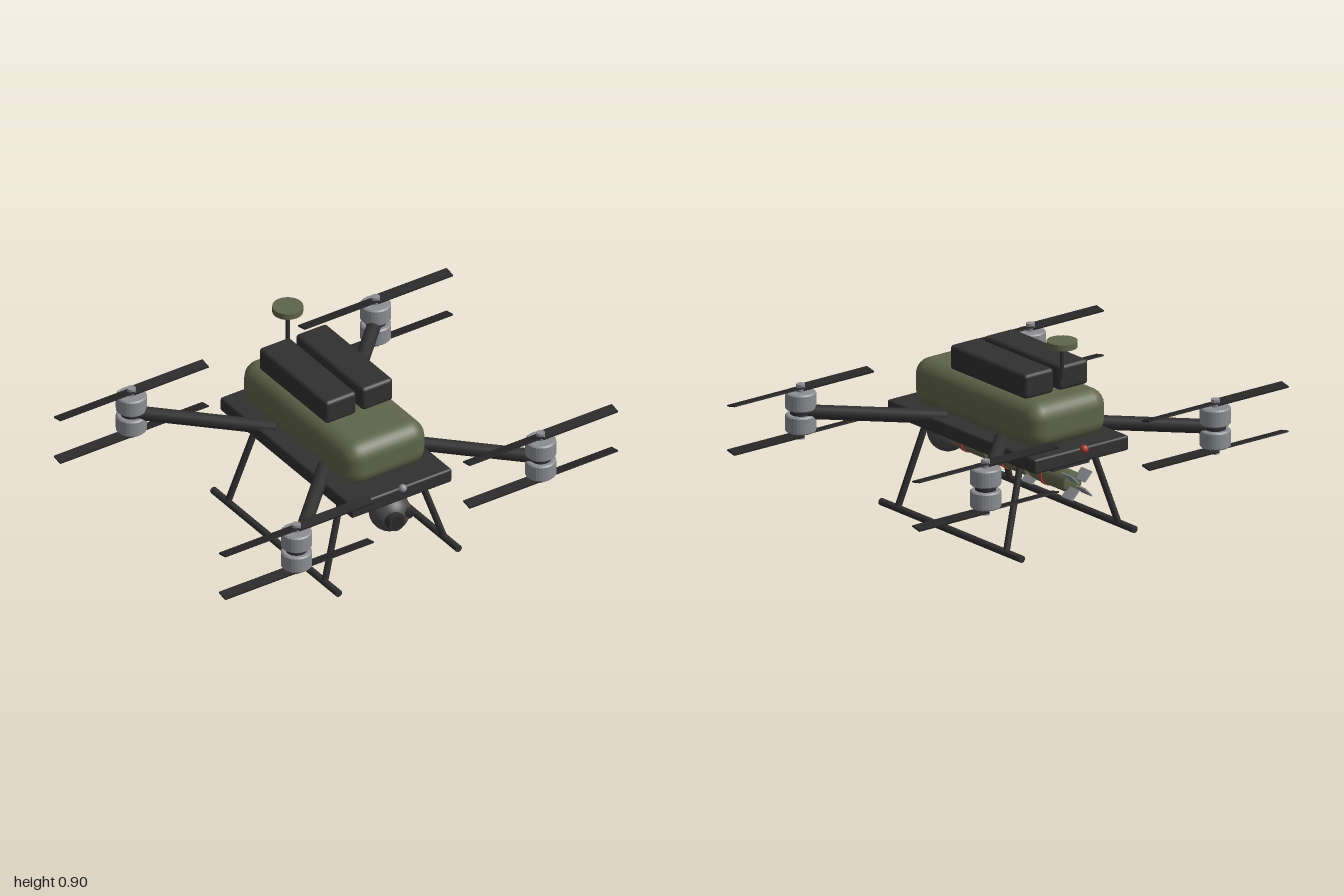
import * as THREE from 'three';
import { RoundedBoxGeometry } from 'three/addons/geometries/RoundedBoxGeometry.js';

const mat = (name, color) => Object.assign(new THREE.MeshStandardMaterial({ color }), { name });

export function createModel() {
  const olive = mat('olive', 0x5f654a);
  const carbon = mat('carbon', 0x303031);
  const black = mat('blade black', 0x262627);
  const metal = mat('metal grey', 0x8b8d92);
  const gunmetal = mat('gunmetal', 0x4b4b4e);
  const red = mat('red', 0xa63c2e);

  const root = new THREE.Group();
  root.name = 'drone';

  const add = (name, geo, material, x = 0, y = 0, z = 0, parent = root) => {
    const m = new THREE.Mesh(geo, material);
    m.name = name;
    m.position.set(x, y, z);
    parent.add(m);
    return m;
  };
  const rbox = (w, h, d, r, s = 2) => new RoundedBoxGeometry(w, h, d, s, r);
  const cyl = (r, h, n = 24) => new THREE.CylinderGeometry(r, r, h, n);
  // straight round tube between two points
  const rod = (name, a, b, r, material) => {
    const A = new THREE.Vector3(...a), B = new THREE.Vector3(...b);
    const d = B.clone().sub(A);
    const m = add(name, cyl(r, d.length(), 16), material);
    m.position.copy(A).add(B).multiplyScalar(0.5);
    m.quaternion.setFromUnitVectors(new THREE.Vector3(0, 1, 0), d.normalize());
    return m;
  };

  // Fuselage: flat base plate, rounded shell and two battery packs
  add('basePlate', rbox(0.51, 0.066, 1.0, 0.01), carbon, 0, 0.423, 0);
  add('bodyShell', rbox(0.41, 0.21, 0.857, 0.075, 3), olive, 0, 0.556, -0.013);
  for (const s of [-1, 1])
    add('battery', rbox(0.157, 0.11, 0.513, 0.016), carbon, s * 0.093, 0.715, -0.075);

  // Antenna mast and disc
  add('antennaMast', cyl(0.009, 0.15, 12), carbon, 0, 0.805, -0.365);
  add('antennaDisc', cyl(0.066, 0.028, 24), olive, 0, 0.886, -0.365);

  // Position lights
  add('frontLight', new THREE.SphereGeometry(0.018, 16, 12), metal, 0, 0.455, 0.505);
  add('rearLight', new THREE.SphereGeometry(0.018, 16, 12), red, 0, 0.455, -0.515);

  // Four arms, each with a stacked pair of motors and propellers
  for (const sx of [-1, 1]) for (const sz of [-1, 1]) {
    const x = sx * 0.622, z = sz * 0.624;
    rod('arm', [sx * 0.18, 0.449, sz * 0.18], [x, 0.449, z], 0.031, carbon);
    const pod = new THREE.Group();
    pod.name = 'motorPod';
    pod.position.set(x, 0.451, z);
    root.add(pod);
    add('motorMount', cyl(0.045, 0.05), carbon, 0, 0, 0, pod);
    for (const s of [-1, 1]) {
      const can = [[0, -0.039], [0.06, -0.039], [0.066, -0.033], [0.066, 0.033], [0.06, 0.039], [0, 0.039]]
        .map(p => new THREE.Vector2(...p));
      add('motor', new THREE.LatheGeometry(can, 28).toNonIndexed(), metal, 0, s * 0.05, 0, pod)
        .geometry.computeVertexNormals();
      add('propellerHub', cyl(0.019, 0.036, 12), metal, 0, s * 0.104, 0, pod);
      for (const side of [-1, 1]) {
        const blade = add('propellerBlade', new THREE.BoxGeometry(0.378, 0.007, 0.05), black,
          side * 0.189, s * 0.104, 0, pod);
        blade.rotation.x = side * s * 0.2;
      }
    }
  }

  // Landing gear: two skids on splayed legs
  for (const sx of [-1, 1]) {
    rod('skid', [sx * 0.305, 0.017, -0.475], [sx * 0.305, 0.017, 0.475], 0.016, carbon);
    for (const sz of [-1, 1])
      rod('leg', [sx * 0.183, 0.4, sz * 0.318], [sx * 0.303, 0.02, sz * 0.366], 0.0145, carbon);
  }

  // Camera ball under the nose
  add('gimbalMount', cyl(0.038, 0.04), metal, 0, 0.376, 0.4);
  add('cameraBall', new THREE.SphereGeometry(0.089, 32, 20), gunmetal, 0, 0.288, 0.405);
  for (const [name, x, y, r, z] of [['mainLens', -0.025, 0.288, 0.041, 0.482], ['smallLens', 0.043, 0.303, 0.02, 0.479]]) {
    add(name, cyl(r, 0.04), carbon, x, y, z).rotation.x = Math.PI / 2;
    add(name + 'Glass', cyl(r * 0.72, 0.004), black, x, y, z + 0.021).rotation.x = Math.PI / 2;
  }

  // Payload rail with three finned canisters in line
  add('payloadRail', new THREE.BoxGeometry(0.2, 0.034, 0.757), carbon, 0, 0.366, -0.047);
  const profile = [[0, -0.162], [0.046, -0.16], [0.048, -0.15], [0.048, 0.07], [0.042, 0.095], [0.028, 0.112], [0, 0.118]]
    .map(p => new THREE.Vector2(...p));
  for (const z of [0.26, -0.01, -0.28]) {
    const canister = new THREE.Group();
    canister.name = 'canister';
    canister.position.set(0, 0.284, z);
    root.add(canister);
    add('canisterBody', new THREE.LatheGeometry(profile, 24), olive, 0, 0, 0, canister).rotation.x = Math.PI / 2;
    add('canisterBand', cyl(0.053, 0.015), red, 0, 0, 0, canister).rotation.x = Math.PI / 2;
    for (let i = 0; i < 4; i++) {
      const a = Math.PI / 4 + i * Math.PI / 2;
      add('tailFin', new THREE.BoxGeometry(0.056, 0.007, 0.07), metal,
        Math.cos(a) * 0.049, Math.sin(a) * 0.049, -0.185, canister).rotation.z = a;
    }
  }

  return root;
}
